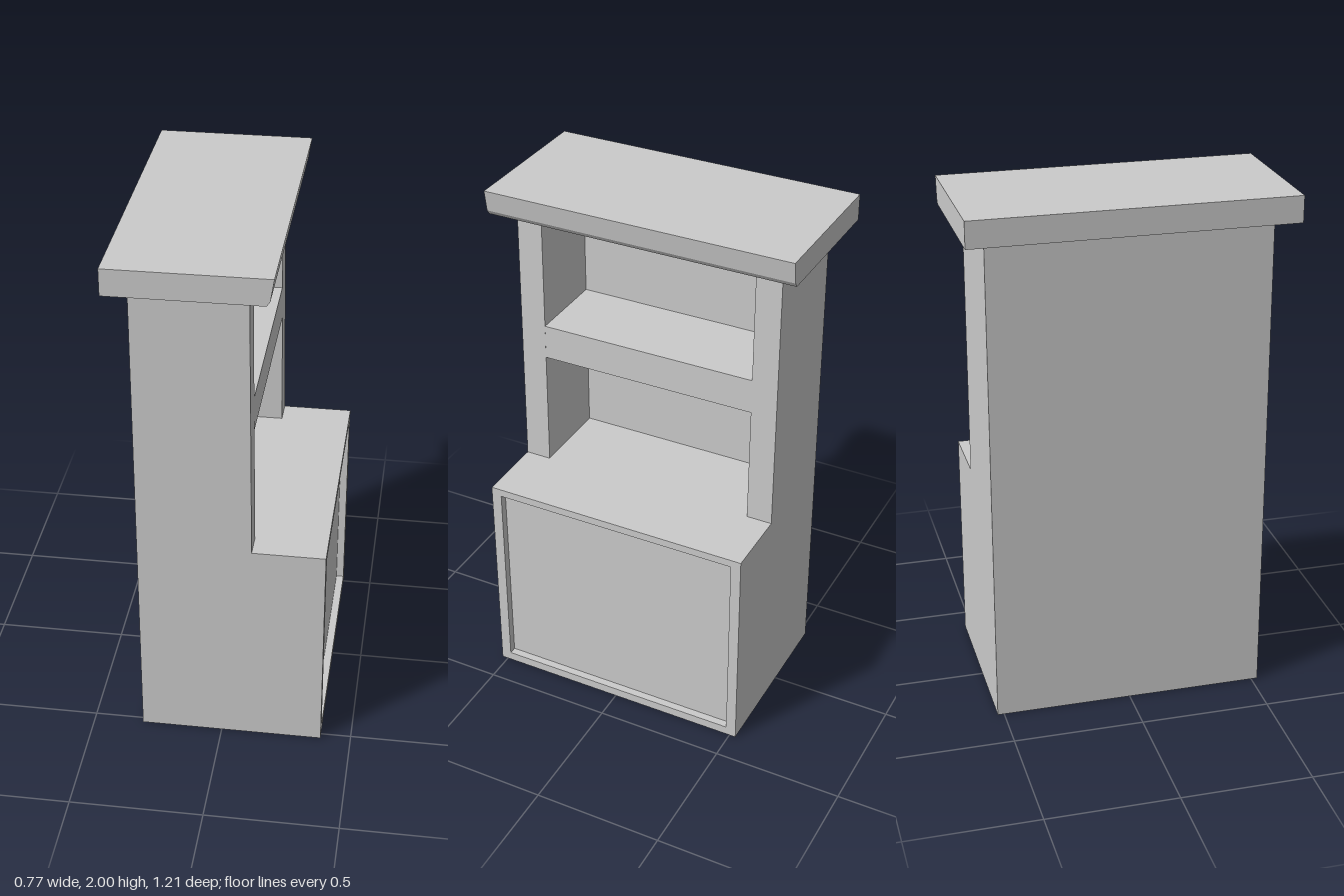
import * as THREE from 'three';

const material = new THREE.MeshStandardMaterial({ color: 0xcccccc });

export function createModel() {
  const group = new THREE.Group();
  group.name = 'cabinet';

  const add = (name, geometry) => {
    const mesh = new THREE.Mesh(geometry, material);
    mesh.name = name;
    group.add(mesh);
    return mesh;
  };

  // Box given by its limits on each axis
  const box = (name, [x0, x1], [y0, y1], [z0, z1]) =>
    add(name, new THREE.BoxGeometry(x1 - x0, y1 - y0, z1 - z0)
      .translate((x0 + x1) / 2, (y0 + y1) / 2, (z0 + z1) / 2));

  // Outline in the x-y plane, extruded from z0 to z1
  const profile = (name, points, z0, z1) => {
    const shape = new THREE.Shape(points.map(([x, y]) => new THREE.Vector2(x, y)));
    const geometry = new THREE.ExtrudeGeometry(shape, { depth: z1 - z0, bevelEnabled: false });
    return add(name, geometry.translate(0, 0, z0));
  };

  const back = -0.31, front = 0.385, recess = 0.03;
  const half = 0.525, inner = 0.425;
  const counter = 0.85, slabBottom = 1.9;

  // Lower cupboard
  box('cupboard', [back, front - recess], [0, counter], [-half, half]);

  // Raised rim around the sunken cupboard panel
  const rim = new THREE.Shape([
    new THREE.Vector2(-half, 0), new THREE.Vector2(half, 0),
    new THREE.Vector2(half, counter), new THREE.Vector2(-half, counter),
  ]);
  rim.holes.push(new THREE.Path([
    new THREE.Vector2(-0.485, 0.035), new THREE.Vector2(-0.485, 0.82),
    new THREE.Vector2(0.485, 0.82), new THREE.Vector2(0.485, 0.035),
  ]));
  add('cupboardRim', new THREE.ExtrudeGeometry(rim, { depth: recess, bevelEnabled: false })
    .rotateY(Math.PI / 2).translate(front - recess, 0, 0));

  // Upper side walls, very slightly tapered at the open edge
  const wall = [[back, counter], [0.114, counter], [0.104, slabBottom], [back, slabBottom]];
  profile('leftWall', wall, inner, half);
  profile('rightWall', wall, -half, -inner);

  // Back of the niches and the shelf between them
  box('backWall', [back, -0.21], [counter, slabBottom], [-inner, inner]);
  profile('shelf', [[-0.21, 1.31], [0.109, 1.31], [0.108, 1.445], [-0.21, 1.445]], -inner, inner);

  // Overhanging top with a sloping edge on the open side
  profile('top', [[-0.388, slabBottom], [0.17, slabBottom], [0.182, 1.918], [0.195, 2], [-0.388, 2]], -0.603, 0.603);

  return group;
}
